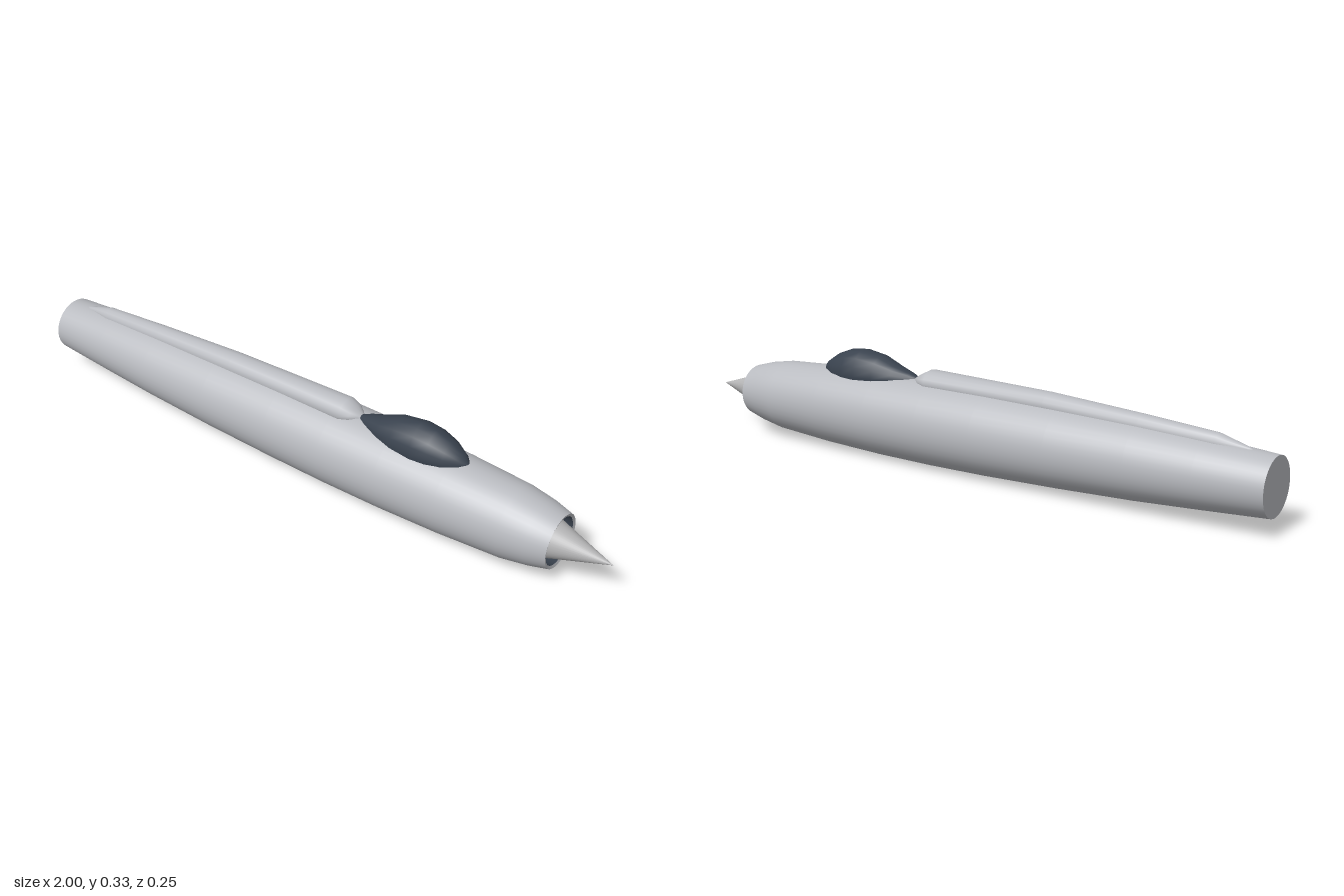
import * as THREE from 'three';

const mat = (name, color) => {
  const m = new THREE.MeshStandardMaterial({ color });
  m.name = name;
  return m;
};

// Closed skin through elliptical sections [x, centreY, radiusY, radiusZ]
function loft(stations, sides) {
  const pos = [], idx = [];
  for (const [x, cy, ry, rz] of stations) {
    for (let j = 0; j < sides; j++) {
      const a = (j / sides) * Math.PI * 2;
      pos.push(x, cy + ry * Math.cos(a), rz * Math.sin(a));
    }
  }
  for (let i = 0; i < stations.length - 1; i++) {
    for (let j = 0; j < sides; j++) {
      const k = (j + 1) % sides;
      const a = i * sides + j, b = i * sides + k;
      idx.push(a, b, a + sides, b, b + sides, a + sides);
    }
  }
  const g = new THREE.BufferGeometry();
  g.setAttribute('position', new THREE.Float32BufferAttribute(pos, 3));
  g.setIndex(idx);
  g.computeVertexNormals();
  return g;
}

// Body of revolution along x from [x, radius] points
function turned(points) {
  const g = new THREE.LatheGeometry(points.map(([x, r]) => new THREE.Vector2(r, x)), 40);
  g.rotateZ(-Math.PI / 2);
  g.translate(0, 0.131, 0);
  return g;
}

export function createModel() {
  const model = new THREE.Group();
  model.name = 'fuselage';
  const skin = mat('light grey skin', 0xb9bbc0);
  const metal = mat('cone grey', 0xb4b4b5);
  const dark = mat('dark glass', 0x39424e);
  const add = (name, geometry, material) => {
    const mesh = new THREE.Mesh(geometry, material);
    mesh.name = name;
    model.add(mesh);
  };

  // Main hull, a slightly tall barrel tapering to the tail
  add('hull', loft([
    [-1, 0.135, 0.085, 0.085], [-0.8, 0.135, 0.099, 0.098], [-0.6, 0.134, 0.111, 0.109],
    [-0.35, 0.133, 0.121, 0.119], [-0.1, 0.132, 0.128, 0.124], [0.1, 0.131, 0.13, 0.126],
    [0.3, 0.131, 0.129, 0.125], [0.5, 0.132, 0.124, 0.12], [0.7, 0.132, 0.112, 0.109],
    [0.78, 0.132, 0.098, 0.097], [0.84, 0.131, 0.082, 0.082],
  ], 40), skin);

  // Flat tail
  const tail = new THREE.CircleGeometry(0.085, 40);
  tail.rotateY(-Math.PI / 2);
  tail.translate(-1, 0.135, 0);
  add('tailCap', tail, skin);

  // Nose intake: lip, dark duct with its back wall, and centre cone
  add('intakeLip', turned([[0.84, 0.082], [0.837, 0.073]]), skin);
  add('intakeDuct', turned([[0.837, 0.073], [0.77, 0.07]]), dark);
  add('intakeBack', turned([[0.77, 0.07], [0.77, 0]]), dark);
  add('intakeCone', turned([[0.77, 0.058], [0.82, 0.058], [0.821, 0.057], [1, 0]]), metal);

  // Dorsal spine
  add('spine', loft([
    [-0.935, 0.222, 0.001, 0.001], [-0.92, 0.222, 0.007, 0.01], [-0.83, 0.224, 0.03, 0.026],
    [-0.6, 0.237, 0.033, 0.033], [-0.3, 0.25, 0.037, 0.04], [0.12, 0.258, 0.037, 0.047],
    [0.15, 0.258, 0.022, 0.036], [0.17, 0.257, 0.011, 0.018], [0.19, 0.255, 0.001, 0.001],
  ], 16), skin);

  // Canopy bubble
  add('canopy', loft([
    [0.16, 0.255, 0.004, 0.004], [0.2, 0.253, 0.022, 0.027], [0.25, 0.25, 0.041, 0.046],
    [0.31, 0.248, 0.067, 0.061], [0.38, 0.247, 0.079, 0.066], [0.43, 0.247, 0.073, 0.062],
    [0.48, 0.247, 0.054, 0.05], [0.52, 0.247, 0.027, 0.029], [0.545, 0.246, 0.001, 0.001],
  ], 16), dark);

  return model;
}
